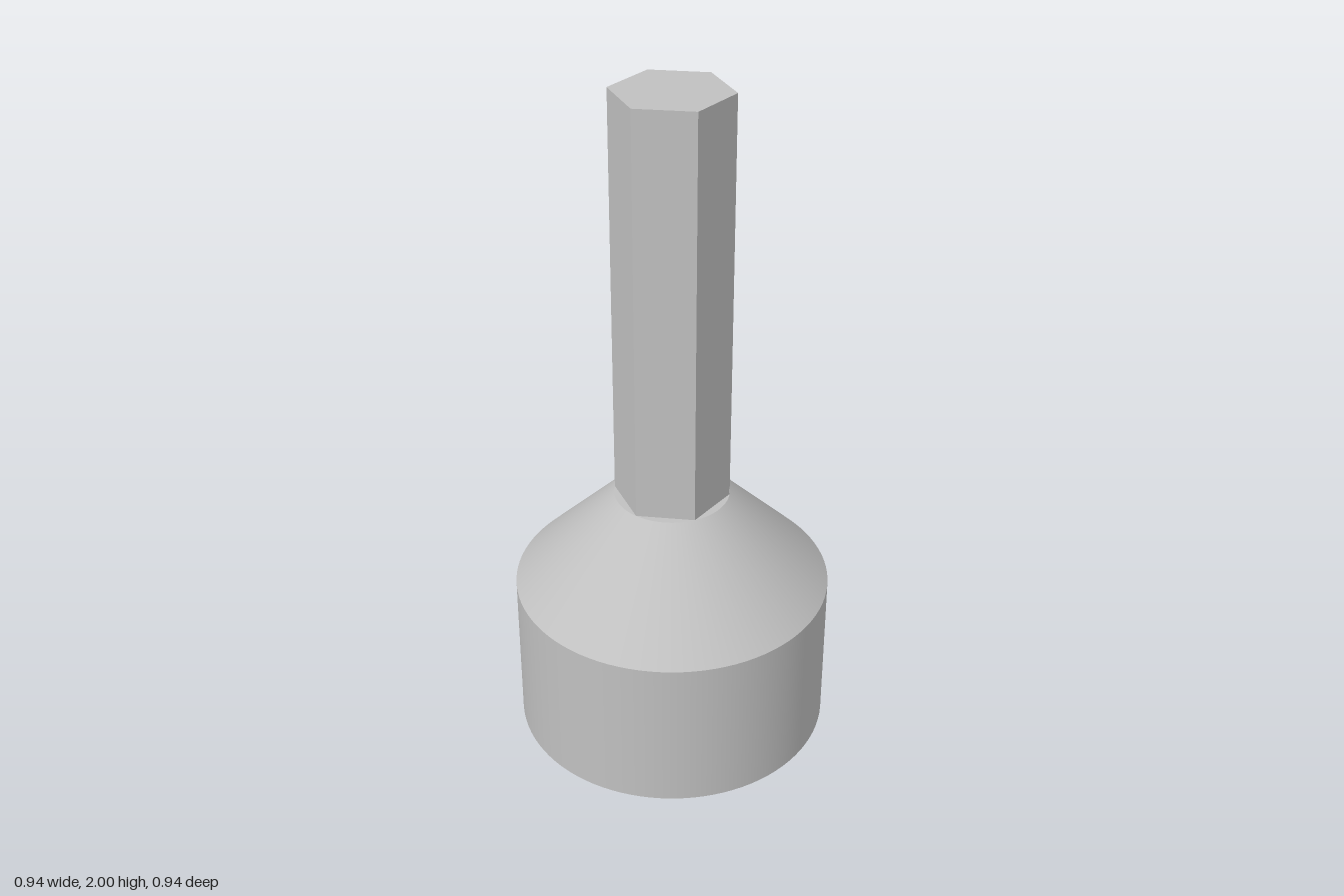
import * as THREE from 'three';

const BODY_R = 0.47, SHANK_R = 0.17, SOCKET_R = 0.37;
const BODY_TOP = 0.475, CONE_TOP = 0.775, TOP = 2, SOCKET_DEPTH = 0.305;
const SEGMENTS = 96;

// Tube or prism standing between two heights, first corner on +x
function column(rTop, rBottom, y0, y1, sides, open) {
  return new THREE.CylinderGeometry(rTop, rBottom, y1 - y0, sides, 1, open, Math.PI / 2)
    .translate(0, (y0 + y1) / 2, 0);
}

// Flat facets with hard edges
function faceted(geometry) {
  const flat = geometry.toNonIndexed();
  flat.computeVertexNormals();
  return flat;
}

export function createModel() {
  const steel = new THREE.MeshStandardMaterial({ color: 0xc0c0c0 });
  steel.name = 'steel grey';

  const group = new THREE.Group();
  group.name = 'hexSocketDriver';
  const add = (name, geometry) => {
    const mesh = new THREE.Mesh(geometry, steel);
    mesh.name = name;
    group.add(mesh);
  };

  // Hexagonal drive shank
  add('shank', faceted(column(SHANK_R, SHANK_R, CONE_TOP, TOP, 6, false)));

  // Conical shoulder and the small flat ledge around the shank
  add('shoulder', column(SHANK_R, BODY_R, BODY_TOP, CONE_TOP, SEGMENTS, true));
  add('shoulderLedge', new THREE.CircleGeometry(SHANK_R, SEGMENTS)
    .rotateX(-Math.PI / 2).translate(0, CONE_TOP, 0));

  // Round socket body
  add('socketBody', column(BODY_R, BODY_R, 0, BODY_TOP, SEGMENTS, true));

  // Bottom rim: a disc with a hexagonal opening
  const rim = new THREE.Shape().absarc(0, 0, BODY_R, 0, Math.PI * 2, false);
  const corners = [];
  for (let i = 0; i < 6; i++) {
    const a = -i * Math.PI / 3;
    corners.push(new THREE.Vector2(Math.cos(a) * SOCKET_R, Math.sin(a) * SOCKET_R));
  }
  rim.holes.push(new THREE.Path(corners));
  add('socketRim', new THREE.ShapeGeometry(rim, SEGMENTS).rotateX(Math.PI / 2));

  // Hexagonal recess: walls turned inward, closed by a flat end
  const walls = column(SOCKET_R, SOCKET_R, 0, SOCKET_DEPTH, 6, true);
  walls.index.array.reverse();
  add('socketWalls', faceted(walls));
  add('socketEnd', new THREE.CircleGeometry(SOCKET_R, 6)
    .rotateX(Math.PI / 2).translate(0, SOCKET_DEPTH, 0));

  return group;
}
